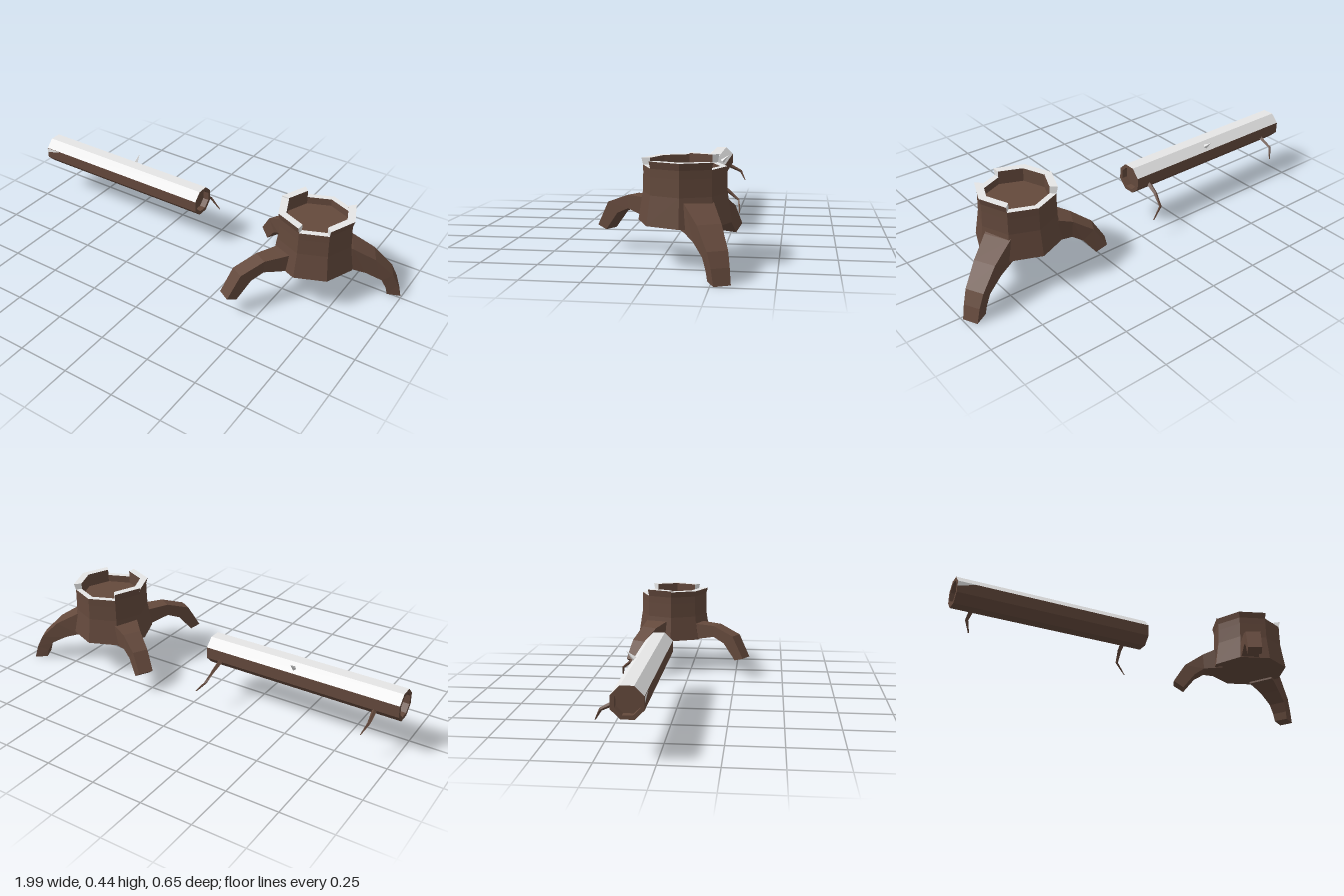
import * as THREE from 'three';

const bark = new THREE.MeshStandardMaterial({ color: 0x64493c });
bark.name = 'bark brown';
const snow = new THREE.MeshStandardMaterial({ color: 0xe6e6e6 });
snow.name = 'snow white';

const V = (x, y, z) => new THREE.Vector3(x, y, z);

// Flat-faced mesh from polygons, each listed counter-clockwise from outside
function facesMesh(name, polys, material) {
  const pts = [];
  for (const p of polys)
    for (let i = 1; i < p.length - 1; i++) pts.push(p[0], p[i], p[i + 1]);
  const geo = new THREE.BufferGeometry().setFromPoints(pts);
  geo.computeVertexNormals();
  const mesh = new THREE.Mesh(geo, material);
  mesh.name = name;
  return mesh;
}

// Closed, capped skin over a row of cross-sections; turned outward by its volume
function loft(name, rings, material) {
  const polys = [];
  const n = rings[0].length;
  for (let i = 0; i < rings.length - 1; i++)
    for (let j = 0; j < n; j++) {
      const k = (j + 1) % n;
      polys.push([rings[i][j], rings[i][k], rings[i + 1][k], rings[i + 1][j]]);
    }
  polys.push([...rings[0]].reverse(), [...rings[rings.length - 1]]);
  let volume = 0;
  const origin = rings[0][0];
  for (const p of polys)
    for (let i = 1; i < p.length - 1; i++) {
      const [a, b, c] = [p[0], p[i], p[i + 1]].map((v) => v.clone().sub(origin));
      volume += a.dot(b.cross(c));
    }
  if (volume < 0) polys.forEach((p) => p.reverse());
  return facesMesh(name, polys, material);
}

// Tapering four-sided stick along a few points
function stick(name, points, r0, r1, material) {
  const rings = points.map((p, i) => {
    const dir = points[Math.min(i + 1, points.length - 1)].clone()
      .sub(points[Math.max(i - 1, 0)]).normalize();
    const side = V(0, 1, 0).cross(dir).normalize();
    const up = dir.clone().cross(side);
    const r = r0 + (r1 - r0) * i / (points.length - 1);
    return [[side, 1], [up, 1], [side, -1], [up, -1]]
      .map(([d, s]) => p.clone().addScaledVector(d, s * r));
  });
  return loft(name, rings, material);
}

const CX = 0.6, CZ = -0.103;

// Point on the stump's octagon, counted counter-clockwise from +x
function stumpPoint(i, r, y) {
  const a = i * Math.PI / 4;
  return V(CX + r * Math.cos(a), y, CZ - r * Math.sin(a));
}

// Root in a given plan direction; sections are [topR, topY, bottomR, bottomY, halfWidth]
function root(name, dx, dz, sections) {
  const len = Math.hypot(dx, dz);
  const [ux, uz] = [dx / len, dz / len];
  const at = (r, y, w) => V(CX + ux * r - uz * w, y, CZ + uz * r + ux * w);
  return loft(name, sections.map(([tr, ty, br, by, w]) =>
    [at(tr, ty, w), at(tr, ty, -w), at(br, by, -w), at(br, by, w)]), bark);
}

function makeStump() {
  const g = new THREE.Group();
  g.name = 'stump';

  // Solid trunk with the sunken floor as its top
  const floorY = 0.375, rimY = 0.41, inner = 0.148;
  g.add(loft('trunk', [[0.2, 0.175], [0.18, 0.3], [0.178, floorY]].map(([r, y]) =>
    Array.from({ length: 8 }, (_, i) => stumpPoint(i, r, y))), bark));

  // Rim wall, with some sides broken off lower
  const walls = [], caps = [];
  const block = (i, y0, y1, r0, r1) => {
    const o = (k, top) => stumpPoint(i + k, top ? r1 : r0, top ? y1 : y0);
    const n = (k, top) => stumpPoint(i + k, inner, top ? y1 : y0);
    walls.push([o(0, 0), o(1, 0), o(1, 1), o(0, 1)], [n(1, 0), n(0, 0), n(0, 1), n(1, 1)]);
    caps.push([o(0, 1), o(1, 1), n(1, 1), n(0, 1)],
      [n(0, 0), o(0, 0), o(0, 1), n(0, 1)], [o(1, 0), n(1, 0), n(1, 1), o(1, 1)]);
  };
  const tops = [0.44, 0, 0, 0.445, 0.44, 0.44, 0, 0.44];
  tops.forEach((top, i) => {
    block(i, floorY, rimY, 0.178, 0.178);
    if (top) block(i, rimY, top, 0.178, 0.186);
  });
  g.add(facesMesh('rimWall', walls, bark), facesMesh('rimSnow', caps, snow));

  g.add(root('backLeftRoot', 0.36, -0.184, [
    [0.14, 0.29, 0.14, 0.165, 0.068], [0.175, 0.275, 0.175, 0.16, 0.064],
    [0.285, 0.212, 0.245, 0.135, 0.052], [0.375, 0.125, 0.325, 0.092, 0.044],
    [0.405, 0.065, 0.35, 0.045, 0.039], [0.425, 0, 0.36, 0.006, 0.036]]));
  g.add(root('frontRoot', -0.235, 0.4, [
    [0.14, 0.262, 0.14, 0.178, 0.05], [0.2, 0.26, 0.2, 0.18, 0.044],
    [0.29, 0.26, 0.29, 0.2, 0.037], [0.41, 0.217, 0.355, 0.172, 0.036],
    [0.475, 0.104, 0.425, 0.088, 0.034]]));
  g.add(root('backRightRoot', -0.335, -0.182, [
    [0.14, 0.285, 0.14, 0.17, 0.064], [0.175, 0.275, 0.175, 0.17, 0.06],
    [0.24, 0.252, 0.235, 0.172, 0.045], [0.335, 0.195, 0.285, 0.142, 0.038],
    [0.395, 0.105, 0.345, 0.07, 0.036]]));
  return g;
}

function makeLog() {
  const g = new THREE.Group();
  g.name = 'log';
  const x0 = -1, x1 = -0.03, R = 0.073, r = 0.055, depth = 0.03, cy = 0.2475, cz = -0.11;
  const p = (k, rad, x) => {
    const a = (k + 0.5) * Math.PI / 4;
    return V(x, cy + rad * Math.sin(a), cz + rad * Math.cos(a));
  };
  const barkFaces = [], snowFaces = [], ends = [];
  for (let k = 0; k < 8; k++) {
    (k < 3 ? snowFaces : barkFaces).push([p(k, R, x0), p(k, R, x1), p(k + 1, R, x1), p(k + 1, R, x0)]);
    // Recessed ends
    for (const [x, s] of [[x1, 1], [x0, -1]]) {
      const deep = x - s * depth;
      const faces = [
        [p(k + 1, R, x), p(k, R, x), p(k, r, x), p(k + 1, r, x)],
        [p(k, r, deep), p(k + 1, r, deep), p(k + 1, r, x), p(k, r, x)],
        [V(deep, cy, cz), p(k + 1, r, deep), p(k, r, deep)]];
      if (s < 0) faces.forEach((f) => f.reverse());
      ends.push(...faces);
    }
  }
  // Snow slipping down at the far corner
  const z = cz + R * Math.cos(Math.PI / 8) + 0.002;
  snowFaces.push([V(x0, 0.275, z), V(x0, 0.25, z), V(-0.91, 0.275, z)]);
  g.add(facesMesh('logBark', barkFaces, bark), facesMesh('logSnow', snowFaces, snow),
    facesMesh('logEnds', ends, bark));

  // Twigs on the back and a snowy stub on top
  g.add(stick('leftTwig', [V(-0.105, 0.225, -0.165), V(-0.1, 0.195, -0.225),
    V(-0.088, 0.15, -0.28), V(-0.04, 0.095, -0.288)], 0.013, 0.003, bark));
  g.add(stick('rightTwig', [V(-0.888, 0.22, -0.165), V(-0.892, 0.185, -0.235),
    V(-0.87, 0.135, -0.262)], 0.012, 0.003, bark));
  g.add(stick('snowyStub', [V(-0.487, 0.282, -0.148), V(-0.487, 0.325, -0.195)], 0.015, 0.001, snow));
  return g;
}

export function createModel() {
  const model = new THREE.Group();
  model.name = 'stumpAndLog';
  model.add(makeStump(), makeLog());
  return model;
}
